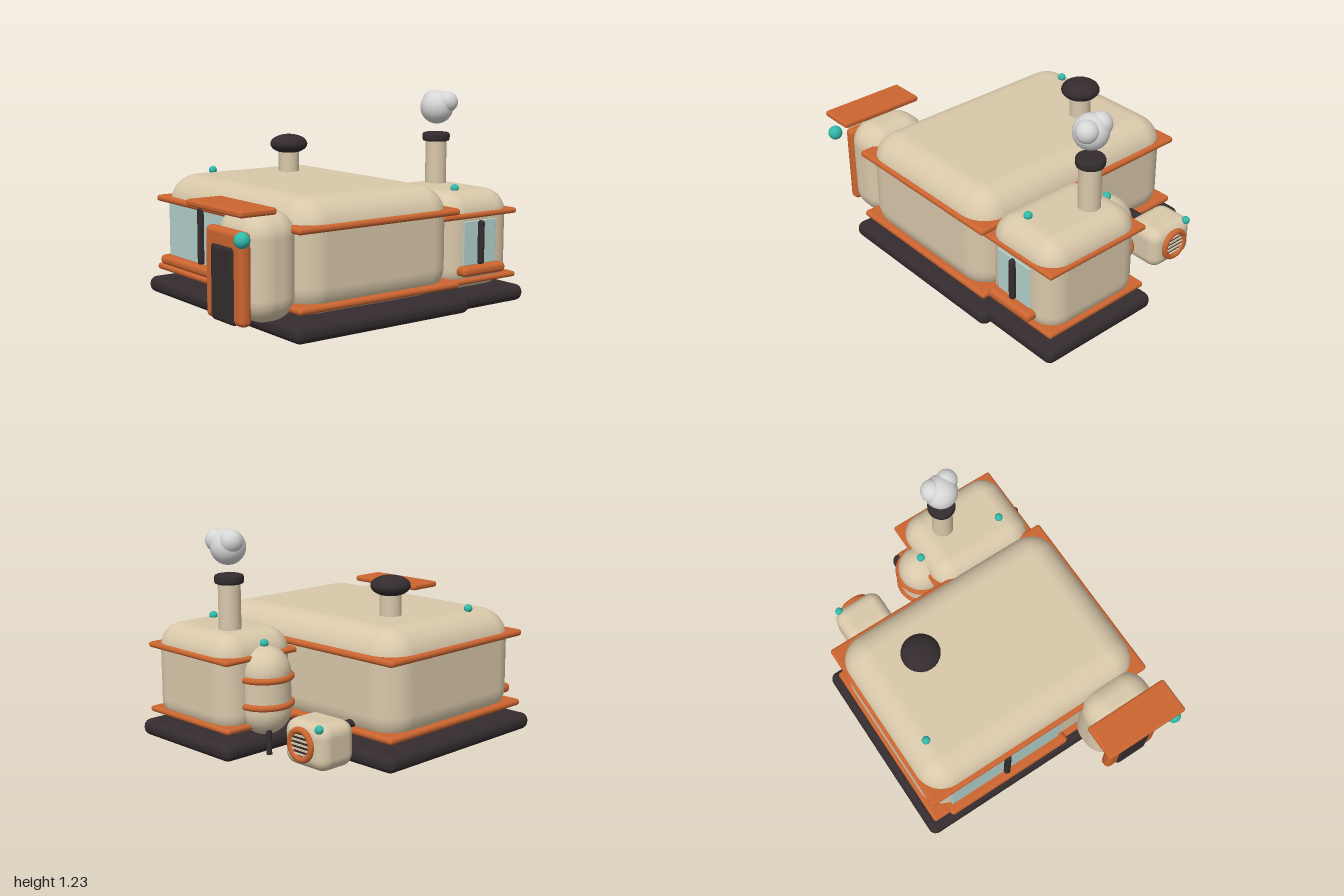
import * as THREE from 'three';
import { RoundedBoxGeometry } from 'three/addons/geometries/RoundedBoxGeometry.js';

const mat = (name, color) => {
  const m = new THREE.MeshStandardMaterial({ color });
  m.name = name;
  return m;
};

export function createModel() {
  const model = new THREE.Group();
  model.name = 'roundedHouse';
  const cream = mat('cream', 0xd9c8aa);
  const orange = mat('orange', 0xcc6530);
  const dark = mat('charcoal', 0x342c2e);
  const teal = mat('teal', 0x32b9aa);
  const glass = mat('glass', 0xb4d1cd);
  const smoke = mat('smoke', 0xd6d6d6);

  const add = (name, geometry, material, x = 0, y = 0, z = 0) => {
    const mesh = new THREE.Mesh(geometry, material);
    mesh.name = name;
    mesh.position.set(x, y, z);
    model.add(mesh);
    return mesh;
  };
  // Rounded box given by its extents on each axis
  const box = (name, material, [x0, x1], [y0, y1], [z0, z1], r) =>
    add(name, new RoundedBoxGeometry(x1 - x0, y1 - y0, z1 - z0, 6, r), material,
      (x0 + x1) / 2, (y0 + y1) / 2, (z0 + z1) / 2);
  const ball = (name, material, r, x, y, z) =>
    add(name, new THREE.SphereGeometry(r, 28, 20), material, x, y, z);
  const tube = (name, material, r, h, x, y, z) =>
    add(name, new THREE.CylinderGeometry(r, r, h, 32), material, x, y, z);

  // Foundations
  box('mainBase', dark, [-0.79, 0.79], [0.005, 0.102], [-0.524, 0.683], 0.045);
  box('rearBase', dark, [-0.037, 0.74], [0.005, 0.101], [-1.0, -0.4], 0.045);

  // Main room with its two trim bands
  box('mainBody', cream, [-0.73, 0.73], [0.1, 0.736], [-0.455, 0.616], 0.17);
  for (const y of [0.585, 0.167])
    box('mainTrim', orange, [-0.745, 0.745], [y - 0.019, y + 0.019], [-0.474, 0.639], 0.018);

  // Rear room with its trim bands
  box('rearBody', cream, [0.016, 0.688], [0.1, 0.674], [-0.947, -0.43], 0.135);
  for (const y of [0.543, 0.163])
    box('rearTrim', orange, [0.0, 0.7], [y - 0.016, y + 0.016], [-0.962, -0.38], 0.015);

  // Front window
  box('frontGlass', glass, [-0.61, 0.15], [0.255, 0.572], [0.595, 0.626], 0.004);
  box('frontMullion', dark, [-0.248, -0.212], [0.258, 0.588], [0.61, 0.655], 0.015);
  box('frontSill', orange, [-0.645, 0.19], [0.2, 0.257], [0.58, 0.677], 0.025);

  // Side window of the rear room
  box('sideGlass', glass, [0.672, 0.695], [0.257, 0.512], [-0.797, -0.545], 0.004);
  box('sideMullion', dark, [0.68, 0.722], [0.258, 0.512], [-0.688, -0.652], 0.015);
  box('sideSill', orange, [0.655, 0.746], [0.2, 0.257], [-0.835, -0.51], 0.025);

  // Entrance porch, door and canopy
  box('porch', cream, [0.267, 0.69], [0.1, 0.687], [0.565, 0.878], 0.135);
  box('doorFrame', orange, [0.302, 0.653], [0.108, 0.597], [0.862, 0.932], 0.03);
  box('door', dark, [0.367, 0.59], [0.106, 0.516], [0.885, 0.944], 0.028);
  box('canopy', orange, [0.212, 0.742], [0.688, 0.724], [0.77, 0.99], 0.014);
  ball('porchLamp', teal, 0.042, 0.705, 0.573, 0.958);

  // Roof vent
  tube('ventStem', cream, 0.062, 0.18, -0.355, 0.78, -0.067);
  ball('ventCap', dark, 0.113, -0.355, 0.903, -0.067).scale.y = 0.52;

  // Chimney with rounded cap and smoke puffs
  tube('chimney', cream, 0.063, 0.32, 0.225, 0.78, -0.745);
  const capProfile = [[0, -0.026], [0.068, -0.026], [0.078, -0.022], [0.082, -0.012],
    [0.082, 0.012], [0.078, 0.022], [0.068, 0.026], [0, 0.026]];
  add('chimneyCap', new THREE.LatheGeometry(capProfile.map(p => new THREE.Vector2(...p)), 36),
    dark, 0.225, 0.953, -0.745);
  for (const [r, x, y, z] of [[0.099, 0.228, 1.13, -0.745], [0.067, 0.18, 1.165, -0.762],
    [0.063, 0.287, 1.163, -0.775]])
    ball('smokePuff', smoke, r, x, y, z);

  // Capsule tank beside the rear room
  add('tank', new THREE.CapsuleGeometry(0.145, 0.21, 12, 36), cream, 0.02, 0.35, -0.675);
  for (const y of [0.43, 0.28])
    add('tankRing', new THREE.TorusGeometry(0.147, 0.018, 12, 48), orange, 0.02, y, -0.675)
      .rotation.x = Math.PI / 2;
  tube('tankDrain', dark, 0.016, 0.15, -0.06, 0.08, -0.72);

  // Equipment pod linked by a pipe, with a round grille
  box('pod', cream, [-0.577, -0.26], [0.025, 0.279], [-0.808, -0.555], 0.07);
  tube('podPipe', dark, 0.025, 0.2, -0.42, 0.2, -0.51).rotation.x = Math.PI / 2;
  add('grilleRing', new THREE.TorusGeometry(0.08, 0.018, 12, 40), orange, -0.415, 0.16, -0.813);
  tube('grilleBack', dark, 0.075, 0.016, -0.415, 0.16, -0.806).rotation.x = Math.PI / 2;
  for (let i = -2; i <= 2; i++) {
    const w = 2 * Math.sqrt(0.07 ** 2 - (i * 0.025) ** 2);
    add('grilleSlat', new THREE.BoxGeometry(w, 0.009, 0.008), cream, -0.415, 0.16 + i * 0.025, -0.818);
  }

  // Small beacon lights
  for (const [x, y, z] of [[-0.585, 0.748, 0.335], [0.54, 0.684, -0.61],
    [0.02, 0.612, -0.675], [-0.532, 0.262, -0.79]])
    ball('beacon', teal, 0.024, x, y, z);

  return model;
}
